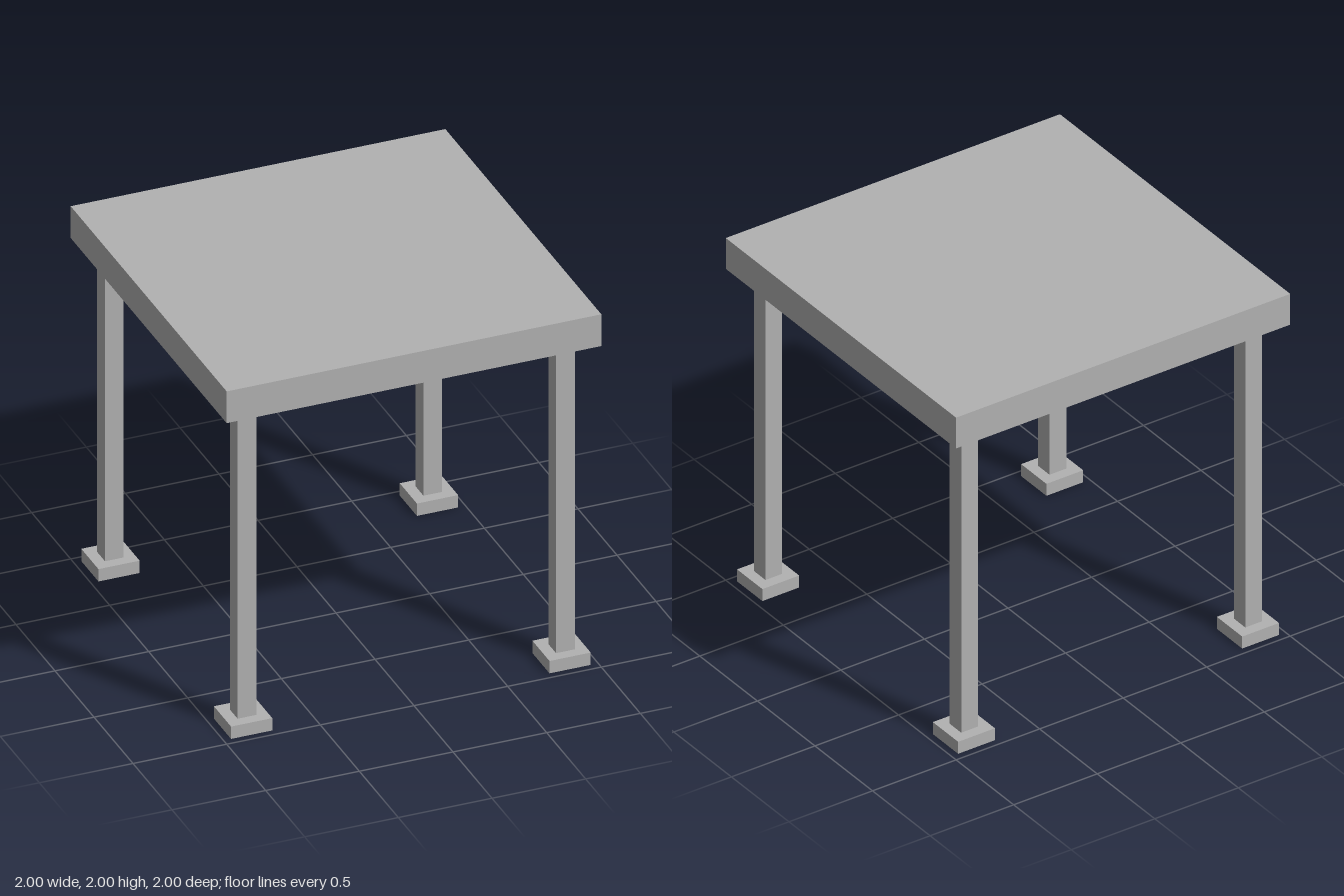
import * as THREE from 'three';

export function createModel() {
  const group = new THREE.Group();
  const grey = new THREE.MeshStandardMaterial({ color: 0xb2b2b2 });
  grey.name = 'grey';

  const addBox = (name, w, h, d, x, y, z) => {
    const mesh = new THREE.Mesh(new THREE.BoxGeometry(w, h, d), grey);
    mesh.name = name;
    mesh.position.set(x, y, z);
    group.add(mesh);
  };

  const square = (Type, r) => new Type([
    new THREE.Vector2(-r, -r), new THREE.Vector2(r, -r),
    new THREE.Vector2(r, r), new THREE.Vector2(-r, r),
  ]);

  // Roof slab with a rim hanging below it, leaving a recess underneath
  const under = 1.82, ceiling = 1.935;
  addBox('roofSlab', 2, 2 - ceiling, 2, 0, (2 + ceiling) / 2, 0);

  const rimShape = square(THREE.Shape, 1);
  rimShape.holes.push(square(THREE.Path, 0.9));
  const rimGeometry = new THREE.ExtrudeGeometry(rimShape, { depth: ceiling - under, bevelEnabled: false });
  rimGeometry.rotateX(-Math.PI / 2);
  const rim = new THREE.Mesh(rimGeometry, grey);
  rim.name = 'roofRim';
  rim.position.y = under;
  group.add(rim);

  // Four posts on square feet, set in the inner corners of the rim
  const footHeight = 0.07;
  for (const x of [-0.85, 0.85]) {
    for (const z of [-0.85, 0.85]) {
      addBox('post', 0.1, under - footHeight, 0.1, x, (under + footHeight) / 2, z);
      addBox('foot', 0.22, footHeight, 0.22, x, footHeight / 2, z);
    }
  }
  return group;
}
